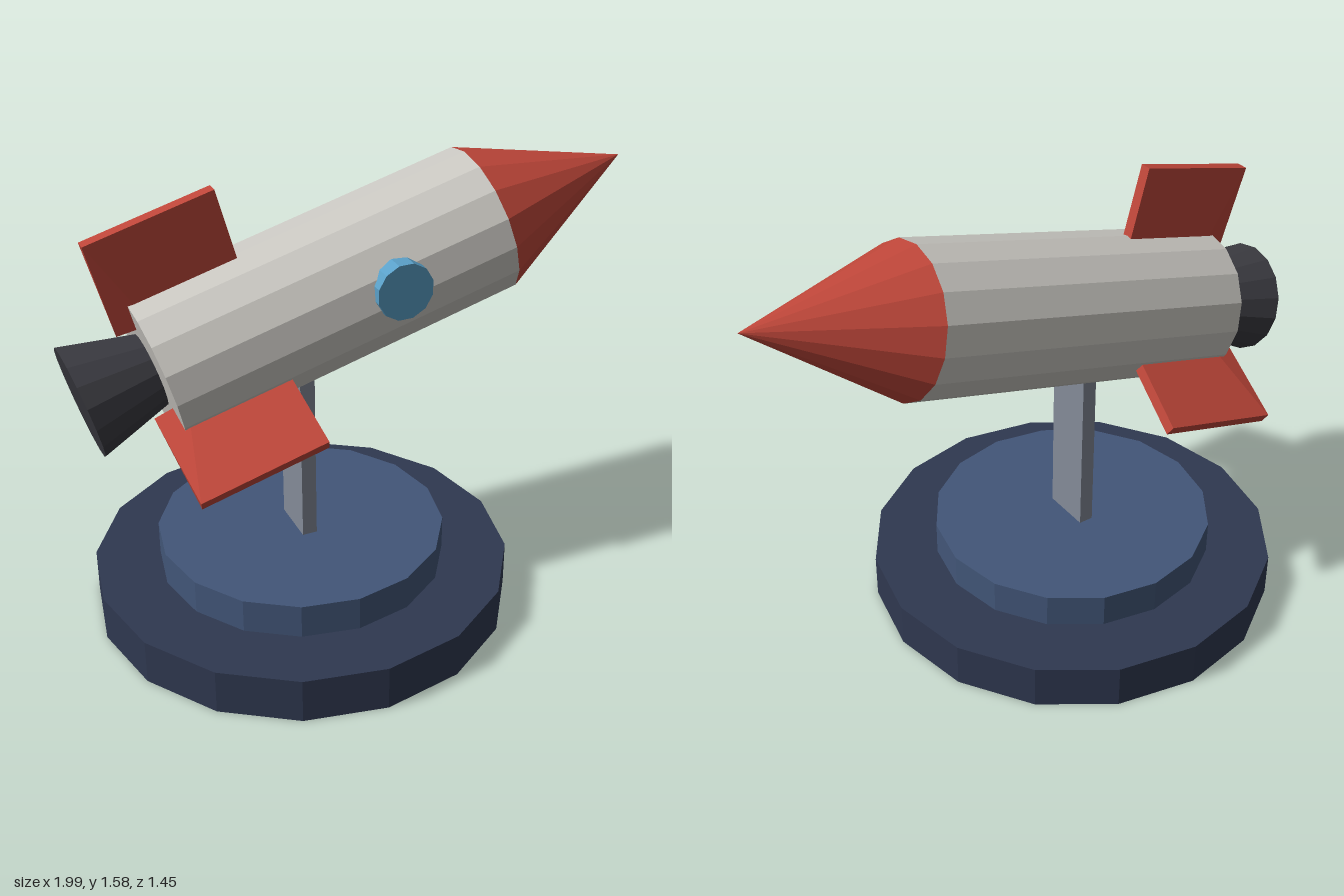
import * as THREE from 'three';

const mat = (name, color) => {
  const m = new THREE.MeshStandardMaterial({ color, flatShading: true });
  m.name = name;
  return m;
};

export function createModel() {
  const hull = mat('hull grey', 0xcbc9c3);
  const red = mat('red', 0xc0473a);
  const dark = mat('nozzle black', 0x3a3a40);
  const glass = mat('window blue', 0x5aa0c8);
  const navy = mat('base navy', 0x2f3850);
  const blue = mat('plinth blue', 0x425678);
  const steel = mat('post grey', 0x848b98);

  const model = new THREE.Group();
  const add = (parent, name, geometry, material, x = 0, y = 0, z = 0) => {
    const mesh = new THREE.Mesh(geometry, material);
    mesh.name = name;
    mesh.position.set(x, y, z);
    parent.add(mesh);
    return mesh;
  };

  // Stand: two stacked discs and a flat post
  const cx = -0.212;
  add(model, 'base', new THREE.CylinderGeometry(0.727, 0.727, 0.16, 16), navy, cx, 0.08);
  add(model, 'plinth', new THREE.CylinderGeometry(0.5, 0.5, 0.12, 16), blue, cx, 0.22);
  add(model, 'post', new THREE.BoxGeometry(0.052, 0.7, 0.174), steel, cx - 0.002, 0.63);

  // Rocket: local x runs from the tail (0) to the nose
  const rocket = new THREE.Group();
  rocket.name = 'rocket';
  rocket.position.set(-0.714, 0.999, 0);
  rocket.rotation.z = Math.PI / 12;
  model.add(rocket);

  // A round section from x0 to x1 along the rocket
  const section = (name, x0, x1, r0, r1, material) => {
    const g = new THREE.CylinderGeometry(r1, r0, x1 - x0, 16).rotateZ(-Math.PI / 2);
    add(rocket, name, g, material, (x0 + x1) / 2);
  };
  section('body', 0, 1.21, 0.257, 0.257, hull);
  section('noseCone', 1.21, 1.765, 0.257, 0, red);
  section('nozzle', -0.248, 0.01, 0.191, 0.122, dark);

  // Round window on the front flank
  add(rocket, 'window', new THREE.CylinderGeometry(0.098, 0.098, 0.07, 12).rotateX(Math.PI / 2),
    glass, 0.8, 0.035, 0.24);

  // Fin plate whose trailing edge sharpens towards the root
  const finGeometry = new THREE.BoxGeometry(0.44, 0.34, 0.04, 2, 1, 1);
  finGeometry.translate(0.155, 0.332, 0);
  const p = finGeometry.attributes.position;
  for (let i = 0; i < p.count; i++) {
    const root = p.getY(i) < 0.3;
    if (Math.abs(p.getX(i) - 0.155) < 0.01) p.setX(i, root ? 0.05 : -0.063);
    else if (root && p.getX(i) < 0) p.setZ(i, 0);
  }
  finGeometry.computeVertexNormals();
  ['topFin', 'leftFin', 'rightFin'].forEach((name, i) => {
    add(rocket, name, finGeometry, red).rotation.x = (i * 2 * Math.PI) / 3;
  });

  return model;
}
